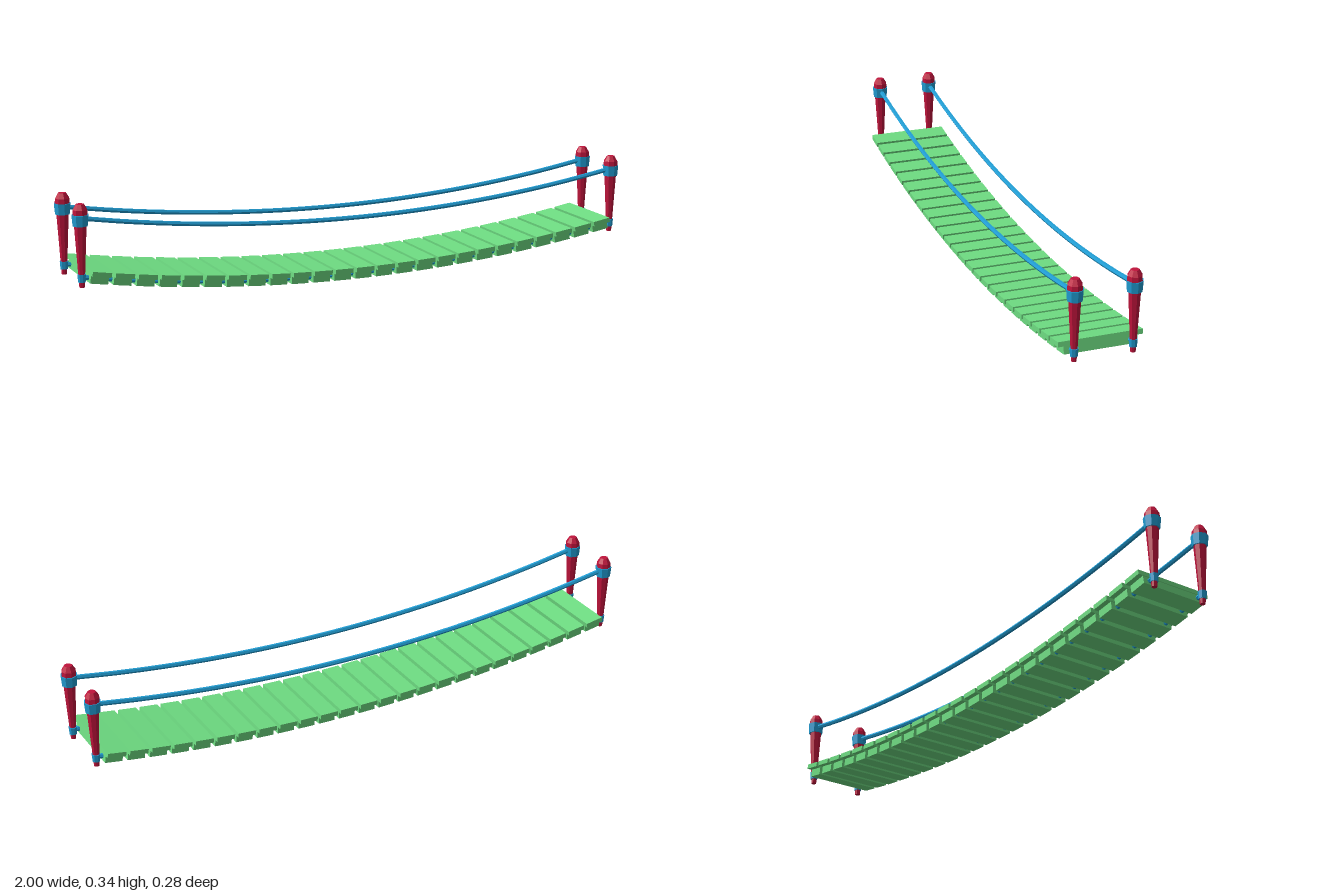
import * as THREE from 'three';

const paint = (color) => new THREE.MeshStandardMaterial({ color, flatShading: true });
const SAG = 0.09;      // every rope and the deck follow y = base + SAG * x^2
const POST_X = 0.972;
const RAIL_Z = 0.096;

export function createModel() {
  const red = paint(0xc0143c);
  const green = paint(0x6edc82);
  const blue = paint(0x219fd6);
  const model = new THREE.Group();
  model.name = 'ropeBridge';

  const add = (parent, name, geometry, material, x = 0, y = 0, z = 0) => {
    const mesh = new THREE.Mesh(geometry, material);
    mesh.name = name;
    mesh.position.set(x, y, z);
    parent.add(mesh);
    return mesh;
  };

  // Deck: each plank is a wide tread on a shorter bearer, tilted along the sag
  const deck = new THREE.Group();
  deck.name = 'deck';
  model.add(deck);
  const tread = new THREE.BoxGeometry(0.064, 0.016, 0.276);
  const bearer = new THREE.BoxGeometry(0.06, 0.026, 0.24);
  const count = 25;
  for (let i = 0; i < count; i++) {
    const x = (i / (count - 1) - 0.5) * 1.846;
    const plank = new THREE.Group();
    plank.name = 'plank';
    plank.position.set(x, SAG * x * x, 0);
    plank.rotation.z = Math.atan(2 * SAG * x);
    add(plank, 'tread', tread, green, 0, 0.034, 0);
    add(plank, 'bearer', bearer, green, 0, 0.013, 0);
    deck.add(plank);
  }

  // Sagging ropes: handrail above, carrying rope through the bearers
  const rope = (base) => {
    const points = [];
    for (let i = 0; i <= 12; i++) {
      const x = (i / 6 - 1) * POST_X;
      points.push(new THREE.Vector3(x, base + SAG * x * x, 0));
    }
    return new THREE.TubeGeometry(new THREE.CatmullRomCurve3(points), 40, 0.008, 6);
  };
  const handrail = rope(0.205);
  const carryingRope = rope(0.014);

  // Posts: eight-sided tapered shaft, two bands and a faceted cap
  const v = (r, y) => new THREE.Vector2(r, y);
  const shaft = new THREE.LatheGeometry([v(0, 0.066), v(0.009, 0.066), v(0.022, 0.29), v(0, 0.29)], 8);
  const cap = new THREE.LatheGeometry(
    [v(0, 0.3), v(0.025, 0.3), v(0.024, 0.318), v(0.0135, 0.336), v(0, 0.336)], 8);
  const upperBand = new THREE.CylinderGeometry(0.028, 0.025, 0.036, 8);
  const lowerBand = new THREE.CylinderGeometry(0.0145, 0.0125, 0.026, 8);

  for (const side of [-1, 1]) {
    add(model, 'handrailRope', handrail, blue, 0, 0, side * RAIL_Z);
    add(model, 'carryingRope', carryingRope, blue, 0, 0, side * RAIL_Z);
    for (const end of [-1, 1]) {
      const post = new THREE.Group();
      post.name = 'post';
      post.position.set(end * POST_X, 0, side * RAIL_Z);
      add(post, 'shaft', shaft, red);
      add(post, 'cap', cap, red);
      add(post, 'upperBand', upperBand, blue, 0, 0.284, 0);
      add(post, 'lowerBand', lowerBand, blue, 0, 0.096, 0);
      model.add(post);
    }
  }
  return model;
}
